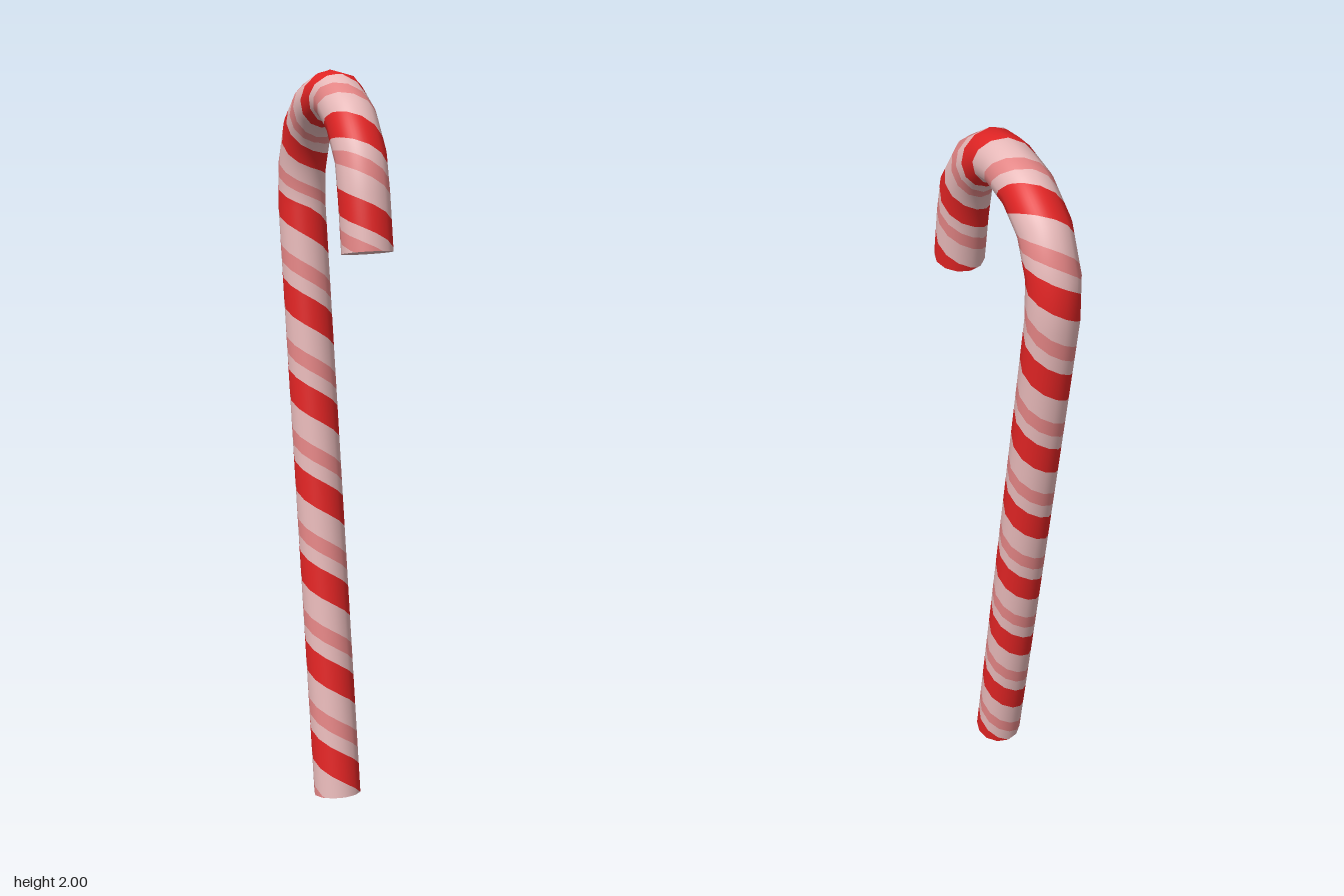
import * as THREE from 'three';

const R = 0.066, SIDES = 12, COLS = 48;

// Centre line of the cane as [z, y], from the foot over the hook to the tip
const PATH = [
  [0.037, 0.013], [-0.243, 1.63], [-0.243, 1.743], [-0.198, 1.847], [-0.116, 1.91],
  [-0.016, 1.934], [0.045, 1.929], [0.132, 1.876], [0.198, 1.788], [0.222, 1.693], [0.246, 1.556],
].map(([z, y]) => new THREE.Vector3(0, y, z));

const dirs = PATH.slice(1).map((p, i) => p.clone().sub(PATH[i]).normalize());
const tangents = PATH.map((p, i) =>
  (dirs[i - 1] || dirs[0]).clone().add(dirs[i] || dirs[dirs.length - 1]).normalize());
const dist = [0];
for (let i = 1; i < PATH.length; i++) dist.push(dist[i - 1] + PATH[i].distanceTo(PATH[i - 1]));
const LENGTH = dist[dist.length - 1];

// Stripe phase along the cane: wider pitch on the straight stem, tighter on the hook
const STEM = dist[1], STEM_PITCH = 0.2525, HOOK_PITCH = 0.2, START = 0.104;
const STEM_PHASE = (STEM - START) / STEM_PITCH;
const phaseAt = (s) => s < STEM ? (s - START) / STEM_PITCH : STEM_PHASE + (s - STEM) / HOOK_PITCH;
const lengthAt = (p) => THREE.MathUtils.clamp(
  p < STEM_PHASE ? START + p * STEM_PITCH : STEM + (p - STEM_PHASE) * HOOK_PITCH, 0, LENGTH);

// Direction from the centre line, a fraction t round the twelve-sided ring i
function spoke(i, t) {
  const T = tangents[i], k = Math.floor(t * SIDES + 1e-6), f = t * SIDES - k;
  const corner = (n) => {
    const a = (n / SIDES) * Math.PI * 2;
    return new THREE.Vector3(-Math.cos(a), Math.sin(a) * T.z, -Math.sin(a) * T.y);
  };
  return corner(k).lerp(corner(k + 1), f);
}

// Surface point and normal at length s, fraction t round
function surface(s, t) {
  let i = 0;
  while (i < dist.length - 2 && s > dist[i + 1]) i++;
  const f = (s - dist[i]) / (dist[i + 1] - dist[i]);
  const dir = spoke(i, t).lerp(spoke(i + 1, t), f);
  const point = PATH[i].clone().lerp(PATH[i + 1], f).addScaledVector(dir, R);
  return { point, normal: dir.normalize() };
}

// All helical strips that cover phases [from, to] of every stripe period
function stripes(from, to) {
  const pos = [], nor = [], index = [], steps = Math.ceil((to - from) / 0.06);
  const first = Math.floor(phaseAt(0)) - 2, last = Math.ceil(phaseAt(LENGTH));
  for (let n = first; n <= last; n++) {
    const base = pos.length / 3, len = [];
    for (let r = 0; r <= steps; r++) {
      for (let c = 0; c <= COLS; c++) {
        const t = c / COLS, s = lengthAt(n + from + ((to - from) * r) / steps + t);
        const v = surface(s, t);
        pos.push(...v.point.toArray());
        nor.push(...v.normal.toArray());
        len.push(s);
      }
    }
    for (let r = 0; r < steps; r++) {
      for (let c = 0; c < COLS; c++) {
        const a = r * (COLS + 1) + c, b = a + COLS + 1;
        // skip pieces squeezed flat at the two ends
        if (len[b] > len[a]) index.push(base + a, base + b, base + b + 1);
        if (len[b + 1] > len[a + 1]) index.push(base + a, base + b + 1, base + a + 1);
      }
    }
  }
  const g = new THREE.BufferGeometry();
  g.setAttribute('position', new THREE.Float32BufferAttribute(pos, 3));
  g.setAttribute('normal', new THREE.Float32BufferAttribute(nor, 3));
  g.setIndex(index);
  return g;
}

export function createModel() {
  const group = new THREE.Group();
  group.name = 'candyCane';
  const material = (name, color) => {
    const m = new THREE.MeshStandardMaterial({ color });
    m.name = name;
    return m;
  };
  const red = material('red', 0xe02424);
  const pink = material('pink', 0xe28484);
  const pale = material('palePink', 0xe6b8b8);
  const add = (name, geometry, mat) => {
    const mesh = new THREE.Mesh(geometry, mat);
    mesh.name = name;
    group.add(mesh);
    return mesh;
  };

  // Striped body
  add('redStripes', stripes(0, 0.335), red);
  add('paleStripesLower', stripes(0.335, 0.51), pale);
  add('pinkStripes', stripes(0.51, 0.69), pink);
  add('paleStripesUpper', stripes(0.69, 1), pale);

  // Flat ends
  const cap = (name, i, sign) => {
    const mesh = add(name, new THREE.CircleGeometry(R, SIDES), pale);
    mesh.position.copy(PATH[i]);
    mesh.lookAt(PATH[i].clone().addScaledVector(tangents[i], sign));
  };
  cap('footCap', 0, -1);
  cap('hookCap', PATH.length - 1, 1);
  return group;
}
